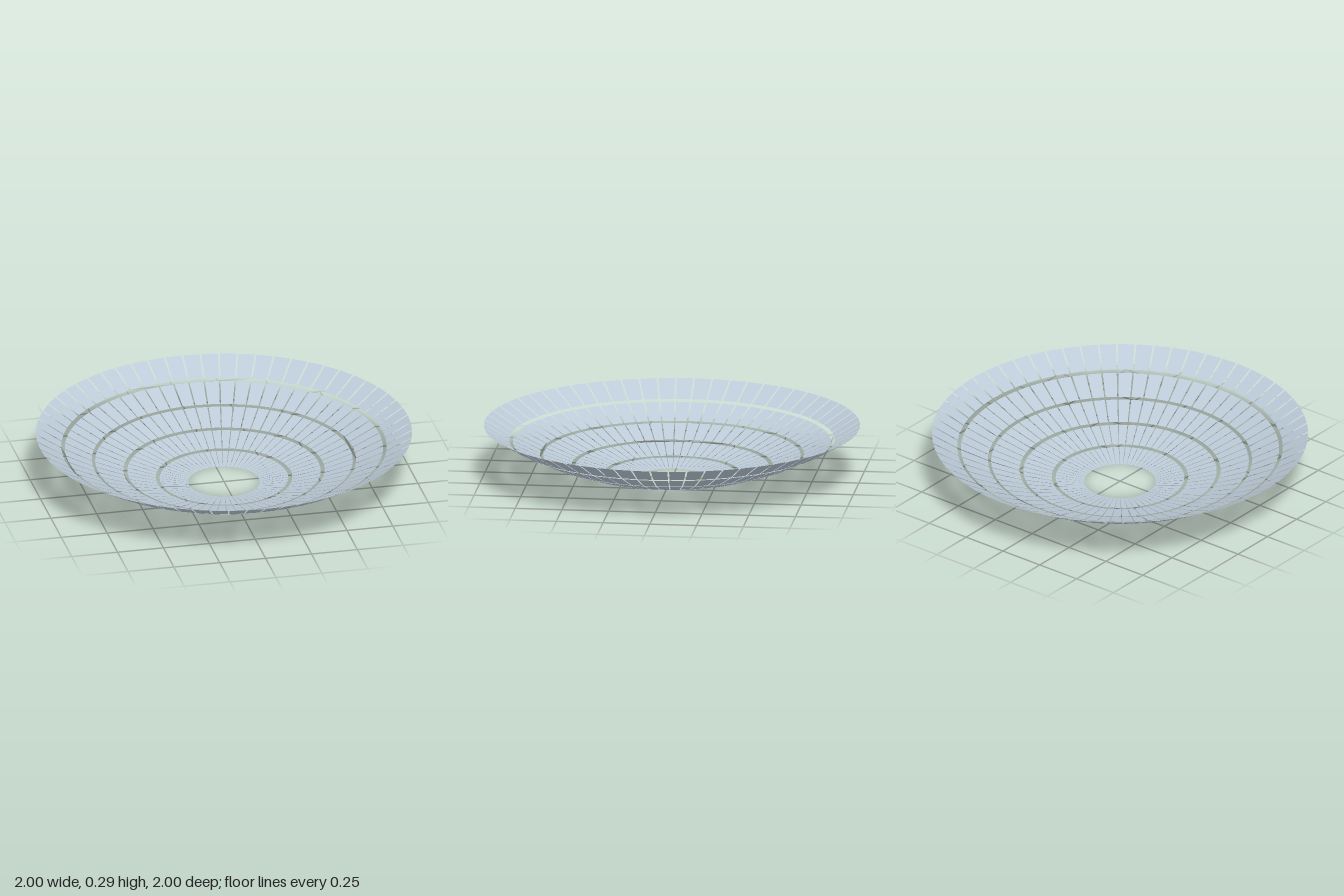
import * as THREE from 'three';
import { mergeGeometries } from 'three/addons/utils/BufferGeometryUtils.js';

const SPHERE_RADIUS = 1.825;
const PANELS = 64;
const STEP = (Math.PI * 2) / PANELS;
const GAP = 0.1; // share of each step left open between panels

// Inner and outer radius of each ring of panels
const RINGS = [
  [0.19, 0.342],
  [0.363, 0.514],
  [0.534, 0.685],
  [0.702, 0.846],
  [0.865, 1.0],
];

// Height on the spherical dish, zero at the central opening
const sag = (r) => SPHERE_RADIUS - Math.sqrt(SPHERE_RADIUS ** 2 - r * r);
const height = (r) => sag(r) - sag(RINGS[0][0]);

// One flat trapezoid panel, its front facing up into the bowl
function panelGeometry(inner, outer, start, end) {
  const corner = (r, a) => [r * Math.cos(a), height(r), r * Math.sin(a)];
  const points = [corner(inner, start), corner(inner, end), corner(outer, end), corner(outer, start)];
  const geometry = new THREE.BufferGeometry();
  geometry.setAttribute('position', new THREE.Float32BufferAttribute(points.flat(), 3));
  geometry.setIndex([0, 1, 2, 0, 2, 3]);
  geometry.computeVertexNormals();
  return geometry;
}

export function createModel() {
  const mirror = new THREE.MeshStandardMaterial({ color: 0xbccad8, side: THREE.DoubleSide });
  mirror.name = 'mirrorBlueGrey';

  const dish = new THREE.Group();
  dish.name = 'segmentedDish';

  // Concentric rings of separate panels
  RINGS.forEach(([inner, outer], i) => {
    const panels = [];
    for (let k = 0; k < PANELS; k++) {
      panels.push(panelGeometry(inner, outer, (k + GAP / 2) * STEP, (k + 1 - GAP / 2) * STEP));
    }
    const ring = new THREE.Mesh(mergeGeometries(panels), mirror);
    ring.name = `panelRing${i + 1}`;
    dish.add(ring);
  });

  return dish;
}
